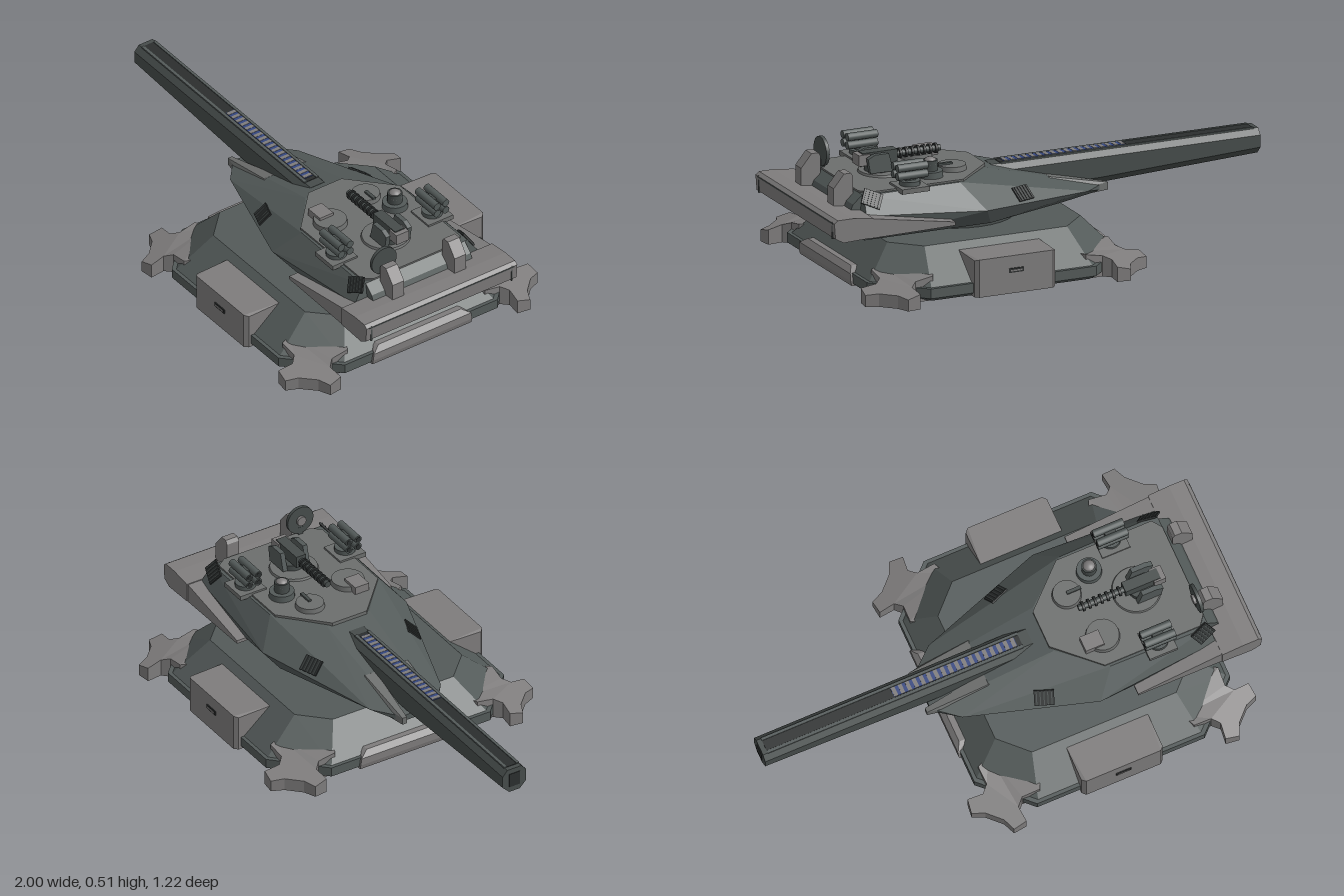
import * as THREE from 'three';
import { ConvexGeometry } from 'three/addons/geometries/ConvexGeometry.js';

const paint = (name, color) => Object.assign(new THREE.MeshStandardMaterial({ color }), { name });

export function createModel() {
  const model = new THREE.Group();
  const dark = paint('darkArmour', 0x535a59);
  const light = paint('lightArmour', 0x7e7c7c);
  const deck = paint('deckGrey', 0x6c6e6d);
  const gunmetal = paint('gunmetal', 0x464c4b);
  const black = paint('ventBlack', 0x2b2e2e);
  const blue = paint('coilBlue', 0x35477f);

  const add = (name, geo, mat, x = 0, y = 0, z = 0, parent = model) => {
    const m = new THREE.Mesh(geo, mat);
    m.name = name;
    m.position.set(x, y, z);
    parent.add(m);
    return m;
  };
  const box = (name, mat, w, h, d, x, y, z, parent) =>
    add(name, new THREE.BoxGeometry(w, h, d), mat, x, y, z, parent);
  // Cylinder along a chosen axis
  const cyl = (name, mat, r, h, x, y, z, axis = 'y', parent = model, r2 = r, sides = 20) => {
    const g = new THREE.CylinderGeometry(r2, r, h, sides);
    if (axis === 'x') g.rotateZ(Math.PI / 2);
    if (axis === 'z') g.rotateX(Math.PI / 2);
    return add(name, g, mat, x, y, z, parent);
  };
  // Faceted solid from points mirrored across z = 0
  const hull = (name, mat, pts) => add(name, new ConvexGeometry(
    pts.flatMap(([x, y, z]) => [new THREE.Vector3(x, y, z), new THREE.Vector3(x, y, -z)])), mat);
  // Faceted solid with no mirroring
  const solid = (name, mat, pts, parent) =>
    add(name, new ConvexGeometry(pts.map(p => new THREE.Vector3(...p))), mat, 0, 0, 0, parent);
  // Side profile in x and y, extruded across z
  const slab = (name, mat, pts, width, z = 0, bevel = 0) => {
    const g = new THREE.ExtrudeGeometry(new THREE.Shape(pts.map(p => new THREE.Vector2(...p))), {
      depth: width, bevelEnabled: bevel > 0, bevelSize: bevel, bevelThickness: bevel, bevelSegments: 1 });
    return add(name, g, mat, 0, 0, z - width / 2);
  };

  // Octagonal base
  const CX = 0.31;
  const octagon = (ax, az, cx, cz, y) => [-1, 1].flatMap(s => [[CX + s * ax, y, cz], [CX + s * cx, y, az]]);
  hull('basePlate', dark, [...octagon(0.53, 0.535, 0.34, 0.35, 0.005), ...octagon(0.55, 0.555, 0.36, 0.37, 0.02),
    ...octagon(0.55, 0.555, 0.36, 0.37, 0.06)]);
  hull('baseSlope', dark, [...octagon(0.535, 0.54, 0.35, 0.36, 0.06), ...octagon(0.42, 0.39, 0.31, 0.28, 0.185)]);
  cyl('turretRing', gunmetal, 0.25, 0.04, CX, 0.195, 0, 'y', model, 0.25, 32);

  // Clawed corner feet, lower toward the toes
  const half = [[0.54, 0.11], [0.6, 0.13], [0.65, 0.075], [0.69, 0.075], [0.73, 0.125], [0.775, 0.09], [0.755, 0.04]];
  const footPlan = [...half, ...half.map(([u, v]) => [u, -v]).reverse()];
  const footGeo = new THREE.ExtrudeGeometry(new THREE.Shape(footPlan.map(p => new THREE.Vector2(...p))),
    { depth: 1, bevelEnabled: false }).rotateX(-Math.PI / 2);
  const fp = footGeo.attributes.position;
  for (let i = 0; i < fp.count; i++) {
    const u = fp.getX(i);
    fp.setY(i, fp.getY(i) > 0.5 ? Math.min(0.1, 0.1 - (u - 0.6) * 0.3) : 0);
  }
  footGeo.computeVertexNormals();
  for (let i = 0; i < 4; i++) {
    const foot = add('foot', footGeo, light, CX, 0, 0);
    foot.rotation.y = Math.PI / 4 + i * Math.PI / 2;
  }

  for (const s of [-1, 1]) {
    // Side lockers with recessed handles
    const corners = [0.135, 0.485].flatMap((x, i) => {
      const e = i ? -0.015 : 0.015;
      return [[x, 0.005, s * 0.4], [x, 0.16, s * 0.4], [x, 0.005, s * 0.565], [x, 0.155, s * 0.565],
        [x + e, 0.005, s * 0.58], [x + e, 0.16, s * 0.58]];
    });
    solid('sideLocker', light, corners);
    box('lockerHandle', black, 0.065, 0.018, 0.006, CX, 0.1, s * 0.581);
    box('lockerHandleBar', light, 0.05, 0.006, 0.008, CX, 0.1, s * 0.582);
    // Chamfered plates on the base ends
    hull('endPlate', light, [[CX + s * 0.5, 0.01, 0.24], [CX + s * 0.555, 0.01, 0.24], [CX + s * 0.56, 0.03, 0.24],
      [CX + s * 0.56, 0.06, 0.235], [CX + s * 0.54, 0.082, 0.2], [CX + s * 0.5, 0.082, 0.2]]);
  }

  // Turret hull
  const body = hull('turretHull', dark, [
    [-0.3, 0.21, 0.08], [-0.1, 0.205, 0.15], [0.28, 0.205, 0.28], [0.83, 0.205, 0.28],
    [-0.3, 0.235, 0.08], [-0.2, 0.24, 0.165], [0.32, 0.275, 0.335], [0.83, 0.31, 0.3],
    [0.14, 0.35, 0.06], [0.22, 0.375, 0.1], [0.4, 0.38, 0.25], [0.82, 0.38, 0.255]]);
  body.updateMatrixWorld(true);
  hull('roofDeck', deck, [0.372, 0.387].flatMap(y => [[0.21, y, 0.08], [0.38, y, 0.24], [0.79, y, 0.24], [0.82, y, 0.2]]));

  // Vent grilles laid flush on the hull armour
  const up = new THREE.Vector3(0, 1, 0);
  const grille = (x, z, turn) => {
    const hit = new THREE.Raycaster(new THREE.Vector3(x, 1, z), new THREE.Vector3(0, -1, 0)).intersectObject(body)[0];
    if (!hit) return;
    const g = new THREE.Group();
    g.name = 'ventGrille';
    g.position.copy(hit.point);
    g.quaternion.setFromUnitVectors(up, hit.face.normal)
      .multiply(new THREE.Quaternion().setFromAxisAngle(up, turn));
    model.add(g);
    box('ventPanel', black, 0.08, 0.008, 0.065, 0, 0.002, 0, g);
    for (let i = -2; i <= 2; i++) box('ventSlat', gunmetal, 0.004, 0.004, 0.06, i * 0.015, 0.007, 0, g);
  };
  for (const s of [-1, 1]) {
    grille(0.12, s * 0.235, -s * 0.35);
    grille(0.79, s * 0.265, s * 0.5);
    // Cheek wedges beside the barrel root
    solid('barrelCheek', deck, [0.21, 0.24].flatMap(y => [[-0.32, y, s * 0.07], [-0.32, y, s * 0.09], [-0.1, y, s * 0.13]])
      .concat([[-0.06, 0.3, s * 0.1], [-0.06, 0.3, s * 0.05], [0.05, 0.24, s * 0.13], [0.05, 0.24, s * 0.05]]));
  }

  // Rear apron and bumper
  slab('rearApron', light, [[0.47, 0.242], [0.84, 0.236], [0.84, 0.318], [0.47, 0.256]], 0.72);
  slab('rearBumper', light, [[0.83, 0.24], [0.96, 0.235], [0.995, 0.255], [1, 0.318], [0.985, 0.33], [0.92, 0.33], [0.83, 0.32]], 0.73);
  box('bumperGroove', gunmetal, 0.006, 0.006, 0.7, 0.998, 0.315, 0);
  for (const s of [-1, 1]) box('bumperEndStrip', gunmetal, 0.01, 0.07, 0.006, 0.994, 0.285, s * 0.34);
  slab('rearStep', dark, [[0.8, 0.3], [0.88, 0.3], [0.86, 0.345], [0.82, 0.38], [0.8, 0.38]], 0.48);

  // Rear posts and the radar disc
  for (const s of [-1, 1]) {
    slab('rearPost', light, [[0.83, 0.32], [0.915, 0.32], [0.915, 0.4], [0.87, 0.455], [0.84, 0.455], [0.83, 0.44]], 0.055, s * 0.15);
  }
  cyl('radarDisc', gunmetal, 0.06, 0.014, 0.813, 0.452, 0.15, 'x', model, 0.06, 28);
  cyl('radarHub', light, 0.02, 0.014, 0.802, 0.452, 0.15, 'x');
  box('radarMast', gunmetal, 0.02, 0.06, 0.02, 0.815, 0.39, 0.15);

  // Long chamfered barrel, deeper toward the turret
  const section = (x, bottom, top, w) => [[x, bottom, w * 0.45], [x, bottom + 0.03, w], [x, top - 0.025, w], [x, top, w * 0.6]];
  hull('barrel', gunmetal, [...section(-1, 0.255, 0.36, 0.055), ...section(-0.3, 0.222, 0.36, 0.055), ...section(0.16, 0.222, 0.36, 0.055)]);
  box('muzzleBore', black, 0.006, 0.06, 0.05, -0.999, 0.308, 0);
  for (const s of [-1, 1]) box('barrelRail', dark, 1.1, 0.008, 0.012, -0.43, 0.36, s * 0.029);
  box('railGroove', black, 1.1, 0.004, 0.044, -0.43, 0.36, 0);
  box('coilStrip', blue, 0.53, 0.005, 0.04, -0.165, 0.362, 0);
  for (let i = 0; i < 18; i++) box('coilSlat', light, 0.016, 0.007, 0.04, -0.42 + i * 0.03, 0.362, 0);

  // Four-tube launchers on turntables
  for (const s of [-1, 1]) {
    const pod = new THREE.Group();
    pod.name = 'launcherPod';
    pod.position.set(0.61, 0, s * 0.232);
    model.add(pod);
    box('podBase', deck, 0.12, 0.02, 0.12, 0, 0.385, 0, pod);
    cyl('podTurntable', dark, 0.042, 0.02, 0, 0.403, 0, 'y', pod);
    box('podMount', gunmetal, 0.045, 0.07, 0.022, 0, 0.44, 0, pod);
    for (const a of [-1, 1]) for (const b of [-1, 1]) {
      cyl('launchTube', dark, 0.016, 0.13, 0, 0.455 + a * 0.017, b * 0.021, 'x', pod, 0.016, 14);
      cyl('launchTubeBore', black, 0.011, 0.006, -0.064, 0.455 + a * 0.017, b * 0.021, 'x', pod, 0.011, 14);
    }
  }

  // Remote machine gun on its ring
  cyl('gunRing', deck, 0.1, 0.012, 0.62, 0.39, 0, 'y', model, 0.095, 32);
  cyl('gunPedestal', gunmetal, 0.055, 0.03, 0.64, 0.405, 0);
  for (const s of [-1, 1]) {
    slab('gunYoke', dark, [[0.6, 0.4], [0.7, 0.4], [0.71, 0.46], [0.68, 0.475], [0.62, 0.475]], 0.02, s * 0.052);
  }
  box('gunBody', gunmetal, 0.15, 0.05, 0.045, 0.64, 0.45, 0);
  box('gunBreech', light, 0.05, 0.045, 0.06, 0.71, 0.448, 0);
  cyl('gunBarrel', gunmetal, 0.013, 0.2, 0.47, 0.45, 0, 'x');
  for (let i = 0; i < 7; i++) cyl('coolingRing', black, 0.021, 0.01, 0.39 + i * 0.026, 0.45, 0, 'x', model, 0.021, 12);

  // Roof hatches, cupola and sight
  cyl('frontHatch', deck, 0.06, 0.024, 0.36, 0.395, -0.09, 'y', model, 0.056, 24);
  box('hatchHandle', gunmetal, 0.06, 0.01, 0.014, 0.39, 0.41, -0.09);
  cyl('cupolaRing', dark, 0.052, 0.03, 0.48, 0.398, -0.145, 'y', model, 0.05, 24);
  cyl('cupolaDrum', gunmetal, 0.03, 0.05, 0.48, 0.43, -0.145);
  add('cupolaDome', new THREE.SphereGeometry(0.03, 16, 8, 0, Math.PI * 2, 0, Math.PI / 2), light, 0.48, 0.437, -0.145);
  cyl('commanderHatch', deck, 0.07, 0.025, 0.42, 0.395, 0.125, 'y', model, 0.066, 24);
  box('commanderSight', light, 0.08, 0.035, 0.065, 0.37, 0.402, 0.135);
  return model;
}
